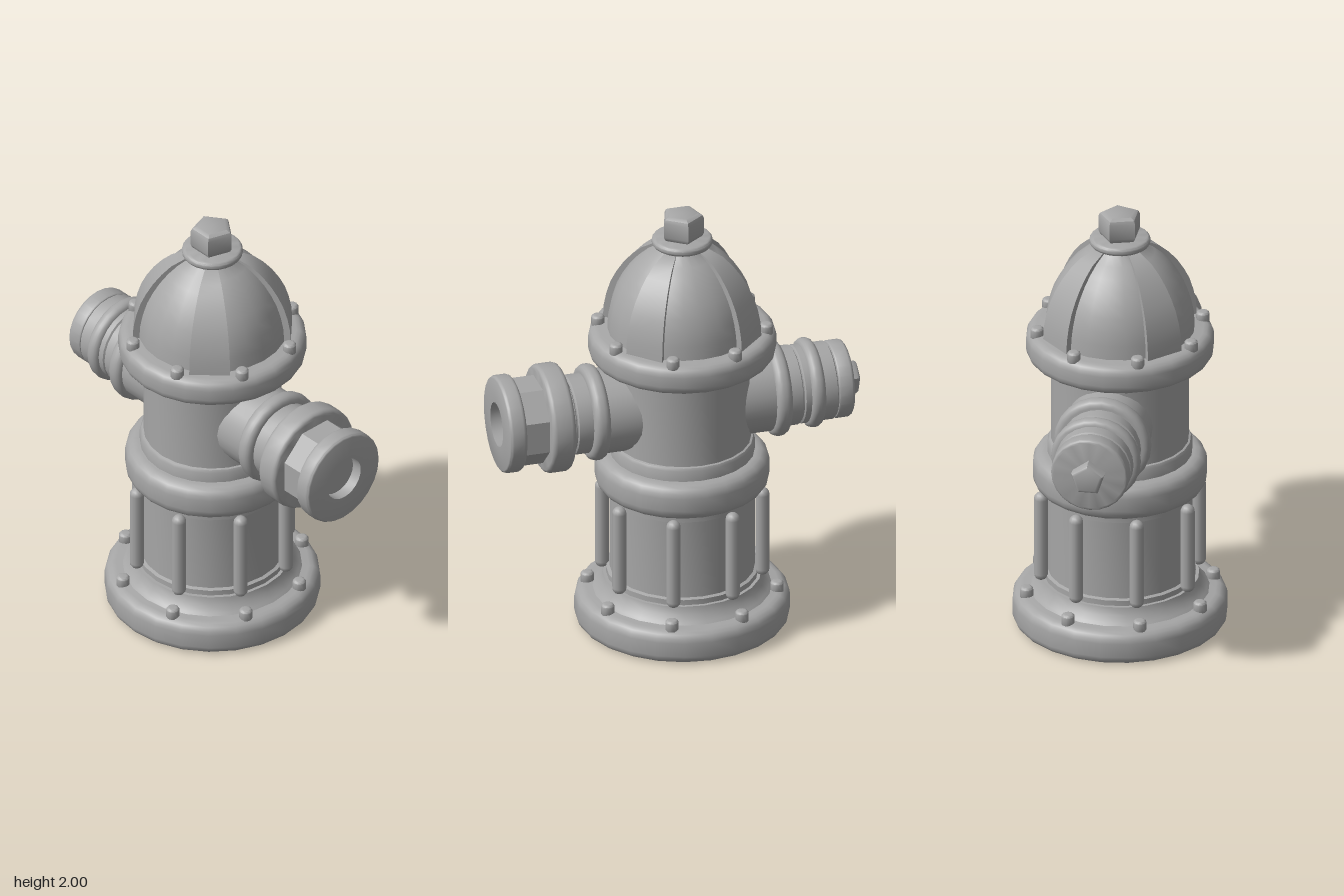
import * as THREE from 'three';
import { toCreasedNormals } from 'three/addons/utils/BufferGeometryUtils.js';

const iron = new THREE.MeshStandardMaterial({ color: 0xa6a6a6 });
iron.name = 'grey cast iron';

const CREASE = 0.6;

// Closed turned solid from [radius, height] pairs, listed bottom to top
function turned(points, sides = 24, phase = 0) {
  const pts = points.map(([r, y]) => new THREE.Vector2(r, y));
  pts.unshift(new THREE.Vector2(0, points[0][1]));
  pts.push(new THREE.Vector2(0, points[points.length - 1][1]));
  return toCreasedNormals(new THREE.LatheGeometry(pts, sides, phase), CREASE);
}

// Profile of a disc with rounded rims
function rounded(r, y0, y1, bevel, bottomBevel = bevel) {
  const pts = [];
  const n = 4;
  for (let i = 0; i <= n; i++) {
    const a = (i / n) * Math.PI / 2;
    pts.push([r - bottomBevel * (1 - Math.sin(a)), y0 + bottomBevel * (1 - Math.cos(a))]);
  }
  for (let i = 0; i <= n; i++) {
    const a = (i / n) * Math.PI / 2;
    pts.push([r - bevel * (1 - Math.cos(a)), y1 - bevel * (1 - Math.sin(a))]);
  }
  return pts;
}

function add(parent, name, geometry) {
  const mesh = new THREE.Mesh(geometry, iron);
  mesh.name = name;
  parent.add(mesh);
  return mesh;
}

// Eight copies around the body, offset half a step from the axes
function aroundBody(parent, name, geometry, radius, y) {
  for (let i = 0; i < 8; i++) {
    const a = (i + 0.5) * Math.PI / 4;
    add(parent, name, geometry).position.set(Math.sin(a) * radius, y, Math.cos(a) * radius);
  }
}

// Raised dome band: a four-cornered section swept up the dome profile
function domeBand(profile, halfAngle, thickness) {
  const pos = [];
  const at = (r, a, y) => [Math.sin(a) * r, y, Math.cos(a) * r];
  const sections = profile.map(([r, y], i) => {
    const out = r + thickness * (i === profile.length - 1 ? 0.5 : 1);
    const inn = r - 0.03;
    return [at(inn, -halfAngle, y), at(out, -halfAngle, y), at(out, halfAngle, y), at(inn, halfAngle, y)];
  });
  const quad = (a, b, c, d) => pos.push(...a, ...b, ...c, ...a, ...c, ...d);
  for (let i = 0; i < sections.length - 1; i++) {
    const lo = sections[i], hi = sections[i + 1];
    for (let k = 0; k < 4; k++) {
      const m = (k + 1) % 4;
      quad(lo[k], lo[m], hi[m], hi[k]);
    }
  }
  const [bottom, top] = [sections[0], sections[sections.length - 1]];
  quad(bottom[3], bottom[2], bottom[1], bottom[0]);
  quad(top[0], top[1], top[2], top[3]);
  const g = new THREE.BufferGeometry();
  g.setAttribute('position', new THREE.Float32BufferAttribute(pos, 3));
  g.computeVertexNormals();
  return toCreasedNormals(g, CREASE);
}

export function createModel() {
  const model = new THREE.Group();
  model.name = 'fireHydrant';
  const body = new THREE.Group();
  body.name = 'body';
  body.position.x = -0.025;
  model.add(body);

  // Foot and lower barrel
  add(body, 'baseFlange', turned(rounded(0.475, 0, 0.155, 0.05, 0.04)));
  add(body, 'baseCollar', turned([[0.4, 0.15], [0.385, 0.165], [0.36, 0.19], [0.35, 0.225]]));
  add(body, 'lowerBarrel', turned([
    [0.335, 0.22], [0.335, 0.25], [0.32, 0.255], [0.32, 0.63], [0.335, 0.635], [0.335, 0.67],
  ]));
  aroundBody(body, 'barrelRib', new THREE.CapsuleGeometry(0.032, 0.366, 4, 12), 0.355, 0.44);

  // Middle ring and upper barrel
  add(body, 'middleRing', turned(rounded(0.385, 0.66, 0.83, 0.055)));
  add(body, 'upperBarrel', turned([
    [0.32, 0.82], [0.32, 0.88], [0.313, 0.892], [0.304, 0.895], [0.304, 1.31],
  ]));

  // Bonnet flange, dome and its four bands
  add(body, 'bonnetFlange', turned(rounded(0.415, 1.3, 1.437, 0.045)));
  const dome = [
    [0.33, 1.43], [0.326, 1.5], [0.314, 1.56], [0.295, 1.62], [0.27, 1.67],
    [0.238, 1.72], [0.2, 1.765], [0.155, 1.805], [0.1, 1.84],
  ];
  add(body, 'dome', turned([...dome, [0.09, 1.86]]));
  const band = domeBand(dome, THREE.MathUtils.degToRad(14.5), 0.03);
  for (let i = 0; i < 4; i++) {
    add(body, 'domeBand', band).rotation.y = (i + 0.5) * Math.PI / 2;
  }

  // Flange bolts
  const bolt = turned(rounded(0.03, 0, 0.05, 0.015, 0.002), 12);
  aroundBody(body, 'baseBolt', bolt, 0.42, 0.147);
  aroundBody(body, 'bonnetBolt', bolt, 0.373, 1.424);

  // Operating nut
  add(body, 'nutWasher', turned(rounded(0.135, 1.845, 1.885, 0.018)));
  add(body, 'operatingNut', turned([
    [0.075, 1.875], [0.09, 1.89], [0.097, 1.905], [0.097, 1.975], [0.09, 1.99], [0.07, 2],
  ], 5, Math.PI));

  // Outlets: groups whose local y runs outward from the hydrant
  const outlet = (name, turn) => {
    const g = new THREE.Group();
    g.name = name;
    g.position.y = 1.073;
    g.rotation.z = turn;
    model.add(g);
    return g;
  };

  // Large hose outlet on the +x side
  const large = outlet('largeOutlet', -Math.PI / 2);
  add(large, 'outletNeck', turned([[0.19, 0.1], [0.19, 0.36]]));
  add(large, 'outletRing', turned(rounded(0.215, 0.355, 0.43, 0.03)));
  add(large, 'outletSleeve', turned([
    [0.178, 0.42], [0.178, 0.495], [0.17, 0.5], [0.17, 0.505], [0.18, 0.51], [0.18, 0.53],
  ]));
  add(large, 'couplingRing', turned(rounded(0.243, 0.525, 0.635, 0.022)));
  add(large, 'octagonCoupling', turned([[0.196, 0.63], [0.196, 0.75]], 8, Math.PI / 8));
  add(large, 'nozzleRim', turned([
    ...rounded(0.218, 0.743, 0.825, 0.018), [0.1, 0.825], [0.1, 0.775],
  ]));

  // Small capped outlet on the -x side
  const small = outlet('smallOutlet', Math.PI / 2);
  add(small, 'outletNeck', turned([[0.19, 0.1], [0.19, 0.41]]));
  add(small, 'outletRing', turned(rounded(0.217, 0.405, 0.478, 0.03)));
  add(small, 'outletSleeve', turned([
    [0.178, 0.47], [0.178, 0.53], [0.168, 0.535], [0.168, 0.54], [0.176, 0.545], [0.176, 0.58],
  ]));
  add(small, 'capRing', turned(rounded(0.2, 0.57, 0.635, 0.028)));
  add(small, 'capSleeve', turned([
    [0.174, 0.63], [0.174, 0.69], [0.166, 0.695], [0.166, 0.705],
  ]));
  add(small, 'cap', turned(rounded(0.173, 0.698, 0.772, 0.015, 0.008)));
  add(small, 'capNut', turned([
    [0.077, 0.765], [0.077, 0.81], [0.07, 0.82], [0.058, 0.825],
  ], 5, Math.PI / 2));

  return model;
}
